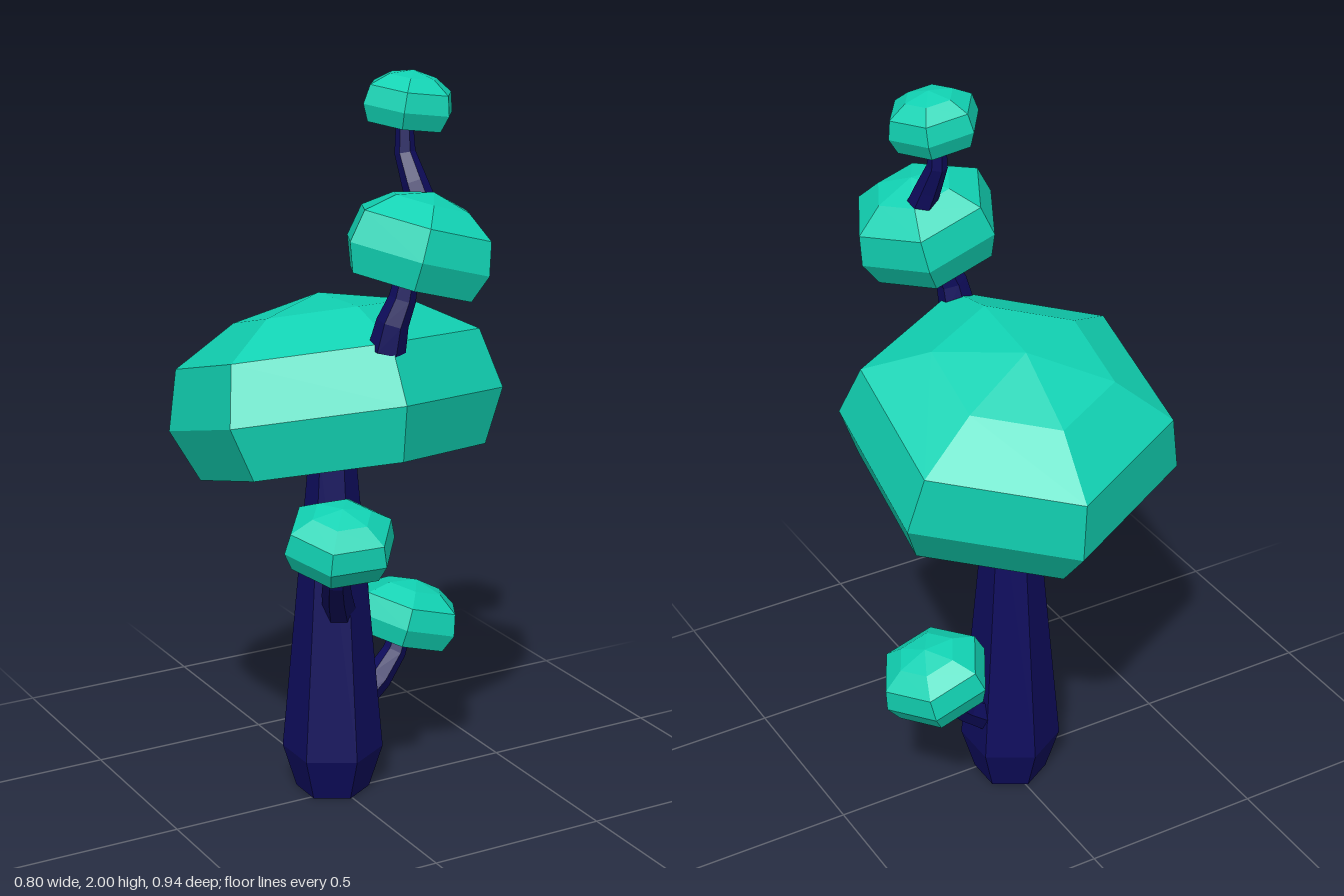
import * as THREE from 'three';

const leafMat = new THREE.MeshStandardMaterial({ color: 0x11d2b3, flatShading: true });
leafMat.name = 'turquoise foliage';
const barkMat = new THREE.MeshStandardMaterial({ color: 0x0e0c5c, flatShading: true });
barkMat.name = 'dark blue bark';

const V = (x, y, z) => new THREE.Vector3(x, y, z);
const UP = V(0, 1, 0);

function part(geometry, material, name) {
  const faceted = geometry.toNonIndexed();
  faceted.computeVertexNormals();
  const mesh = new THREE.Mesh(faceted, material);
  mesh.name = name;
  return mesh;
}

// six-sided solid from [radius, height] pairs, listed bottom to top
const hexLathe = (profile) =>
  new THREE.LatheGeometry(profile.map(([r, y]) => new THREE.Vector2(r, y)), 6);

// flat-bottomed faceted dome; base is the centre of its underside
const domeProfile = [[0, 0], [0.38, 0], [0.445, 0.14], [0.405, 0.30], [0.235, 0.40], [0, 0.45]];
function crown(name, base, axis, turn, scale, stretch) {
  const mesh = part(hexLathe(domeProfile), leafMat, name);
  mesh.position.copy(base);
  mesh.quaternion.setFromUnitVectors(UP, axis.normalize())
    .multiply(new THREE.Quaternion().setFromAxisAngle(UP, THREE.MathUtils.degToRad(turn)));
  mesh.scale.set(scale, scale * stretch, scale);
  return mesh;
}

// tapered bent limb: a cylinder whose rings are moved along a curve
function branch(name, points, r0, r1) {
  const curve = new THREE.CatmullRomCurve3(points);
  const geo = new THREE.CylinderGeometry(1, 1, 1, 6, 3);
  const pos = geo.attributes.position;
  const q = new THREE.Quaternion();
  for (let i = 0; i < pos.count; i++) {
    const t = THREE.MathUtils.clamp(pos.getY(i) + 0.5, 0, 1);
    const r = THREE.MathUtils.lerp(r0, r1, t);
    q.setFromUnitVectors(UP, curve.getTangent(t));
    const p = V(pos.getX(i) * r, 0, pos.getZ(i) * r).applyQuaternion(q).add(curve.getPoint(t));
    pos.setXYZ(i, p.x, p.y, p.z);
  }
  return part(geo, barkMat, name);
}

export function createModel() {
  const tree = new THREE.Group();
  tree.name = 'tree';

  // trunk, pinched at the foot
  const trunk = part(hexLathe([[0, 0], [0.1, 0], [0.137, 0.12], [0.062, 0.96], [0, 0.96]]), barkMat, 'trunk');
  trunk.position.set(-0.007, 0, -0.04);
  tree.add(trunk);

  // limbs
  tree.add(
    branch('leftBranch', [V(0.07, 0.22, -0.06), V(0.15, 0.28, -0.065), V(0.21, 0.34, -0.08), V(0.24, 0.41, -0.085)], 0.045, 0.027),
    branch('frontBranch', [V(-0.02, 0.54, 0.02), V(-0.06, 0.61, 0.08), V(-0.1, 0.68, 0.15), V(-0.115, 0.78, 0.19)], 0.045, 0.03),
    branch('upperBranch', [V(-0.025, 1.32, 0.275), V(-0.015, 1.39, 0.285), V(0.01, 1.45, 0.29), V(0.025, 1.53, 0.295)], 0.048, 0.028),
    branch('topBranch', [V(0.11, 1.64, 0.23), V(0.095, 1.72, 0.2), V(0.085, 1.79, 0.17), V(0.085, 1.89, 0.165)], 0.04, 0.02),
  );

  // foliage
  tree.add(
    crown('mainCrown', V(0, 0.945, 0), V(0, 0.96, -0.28), -4, 1, 1),
    crown('upperCrown', V(0.03, 1.487, 0.293), V(0.28, 0.96, 0), 32, 0.455, 1.14),
    crown('topCrown', V(0.085, 1.86, 0.172), V(0.14, 0.98, 0.03), 25, 0.277, 1.1),
    crown('frontCrown', V(-0.115, 0.748, 0.19), V(-0.05, 0.97, 0.22), 23, 0.342, 1.03),
    crown('leftCrown', V(0.235, 0.378, -0.087), V(0.29, 0.95, 0), 30, 0.35, 1.05),
  );
  return tree;
}
